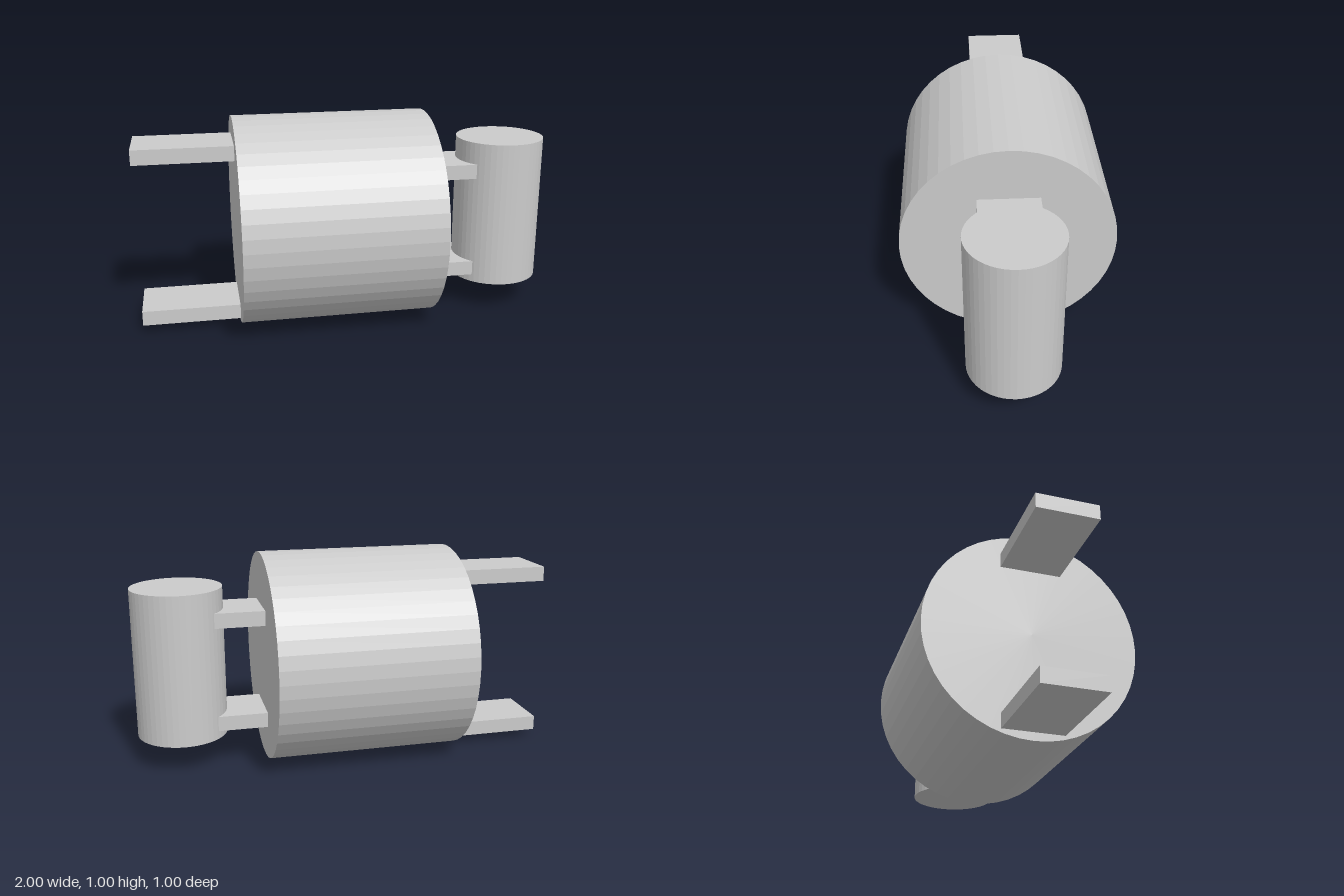
import * as THREE from 'three';

const SIDES = 48;

export function createModel() {
  const model = new THREE.Group();
  const material = new THREE.MeshStandardMaterial({ color: 0xcccccc, flatShading: true });

  const add = (name, geometry, x, y) => {
    const mesh = new THREE.Mesh(geometry, material);
    mesh.name = name;
    mesh.position.set(x, y, 0);
    model.add(mesh);
  };

  // Flat bar running along x between two ends
  const addBar = (name, x0, x1, y) =>
    add(name, new THREE.BoxGeometry(x1 - x0, 0.071, 0.286), (x0 + x1) / 2, y);

  // Large drum lying along x
  const drum = new THREE.CylinderGeometry(0.5, 0.5, 0.928, SIDES).rotateZ(Math.PI / 2);
  add('drum', drum, -0.072, 0.5);

  // Small upright cylinder on the left side
  add('uprightCylinder', new THREE.CylinderGeometry(0.214, 0.214, 0.714, SIDES), 0.786, 0.5);

  // Pairs of bars: connectors to the cylinder, and free arms on the other side
  for (const [label, side] of [['upper', 1], ['lower', -1]]) {
    addBar(label + 'Connector', 0.36, 0.63, 0.5 + side * 0.25 - 0.034);
    addBar(label + 'Arm', -1, -0.5, 0.5 + side * 0.393 - 0.032);
  }
  // The connectors and arms sit symmetrically about the drum axis
  return model;
}
